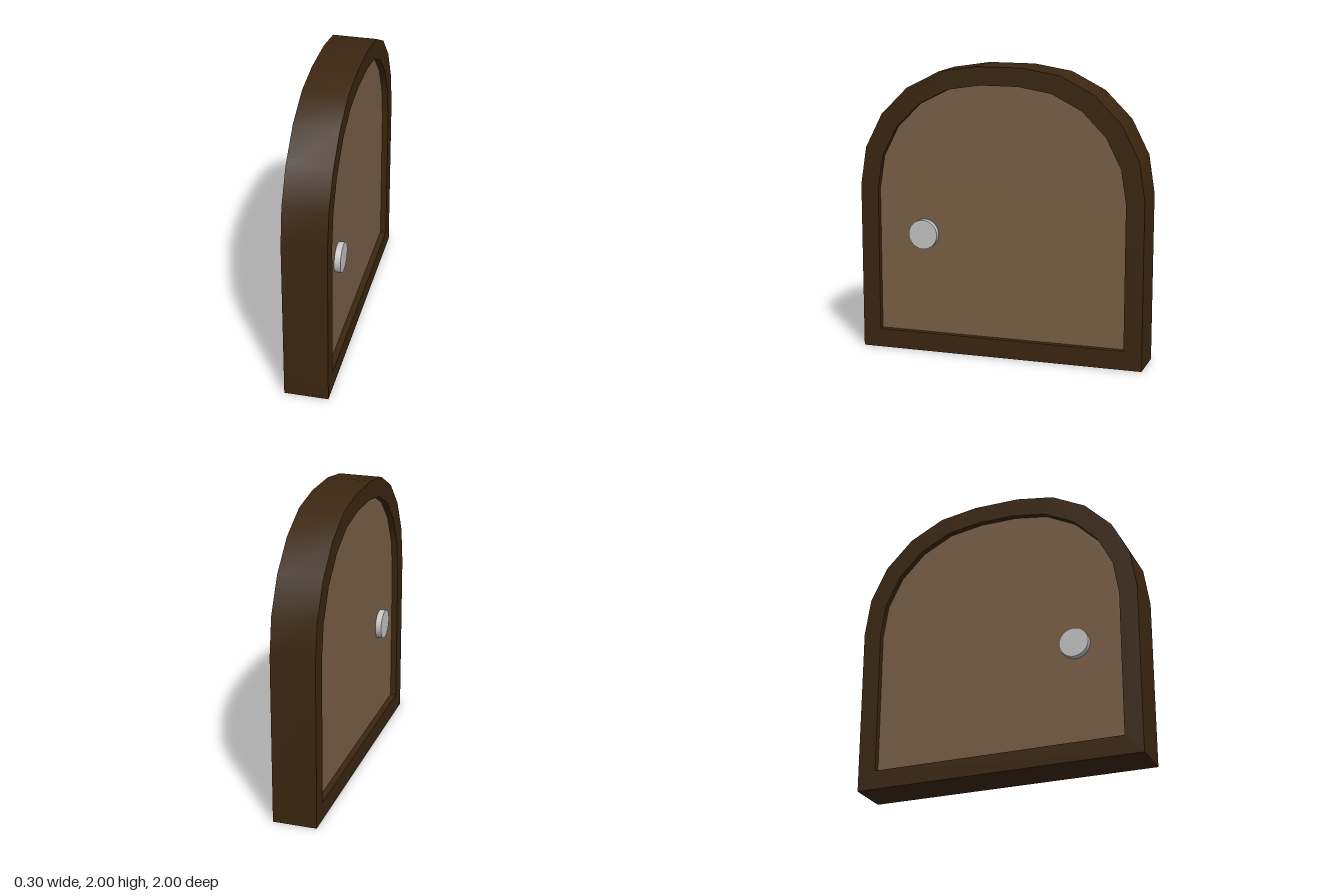
import * as THREE from 'three';
import { toCreasedNormals } from 'three/addons/utils/BufferGeometryUtils.js';

const HALF_DEPTH = 0.15;
const PANEL_HALF_DEPTH = 0.108;

// Arched outline: straight sides, two faceted quarter-arcs and a short flat top
function archPoints(halfWidth, bottom, flat, centreY) {
  const radius = halfWidth - flat;
  const points = [new THREE.Vector2(-halfWidth, bottom), new THREE.Vector2(halfWidth, bottom)];
  for (const side of [1, -1]) {
    for (let i = 0; i <= 5; i++) {
      const a = ((side > 0 ? i : 5 - i) * Math.PI) / 10;
      points.push(new THREE.Vector2(side * (flat + radius * Math.cos(a)), centreY + radius * Math.sin(a)));
    }
  }
  return points;
}

// Extrude centred on the origin, then turn the depth onto the x axis
function extrudeAcross(shape, halfDepth) {
  const geometry = new THREE.ExtrudeGeometry(shape, { depth: halfDepth * 2, bevelEnabled: false });
  geometry.translate(0, 0, -halfDepth);
  geometry.rotateY(Math.PI / 2);
  return toCreasedNormals(geometry, 0.6);
}

export function createModel() {
  const group = new THREE.Group();
  group.name = 'archedDoor';

  const darkWood = new THREE.MeshStandardMaterial({ color: 0x3b2610 });
  darkWood.name = 'dark wood';
  const lightWood = new THREE.MeshStandardMaterial({ color: 0x7a5f47 });
  lightWood.name = 'light wood';
  const metal = new THREE.MeshStandardMaterial({ color: 0xc4c4c4 });
  metal.name = 'pale metal';

  const add = (name, geometry, material) => {
    const mesh = new THREE.Mesh(geometry, material);
    mesh.name = name;
    group.add(mesh);
    return mesh;
  };

  // Frame with an arched opening
  const inner = archPoints(0.875, 0.13, 0.13, 1.13);
  const frameShape = new THREE.Shape(archPoints(1, 0, 0.16, 1.16));
  frameShape.holes.push(new THREE.Path(inner));
  add('frame', extrudeAcross(frameShape, HALF_DEPTH), darkWood);

  // Door panel, recessed on both sides
  add('panel', extrudeAcross(new THREE.Shape(inner), PANEL_HALF_DEPTH), lightWood);

  // One round knob on each face
  const knobDepth = HALF_DEPTH - PANEL_HALF_DEPTH;
  for (const side of [1, -1]) {
    const knob = add(side > 0 ? 'leftKnob' : 'rightKnob', new THREE.CylinderGeometry(0.102, 0.102, knobDepth, 32), metal);
    knob.rotation.z = -side * Math.PI / 2;
    knob.position.set(side * (PANEL_HALF_DEPTH + knobDepth / 2), 0.83, 0.55);
  }

  return group;
}
